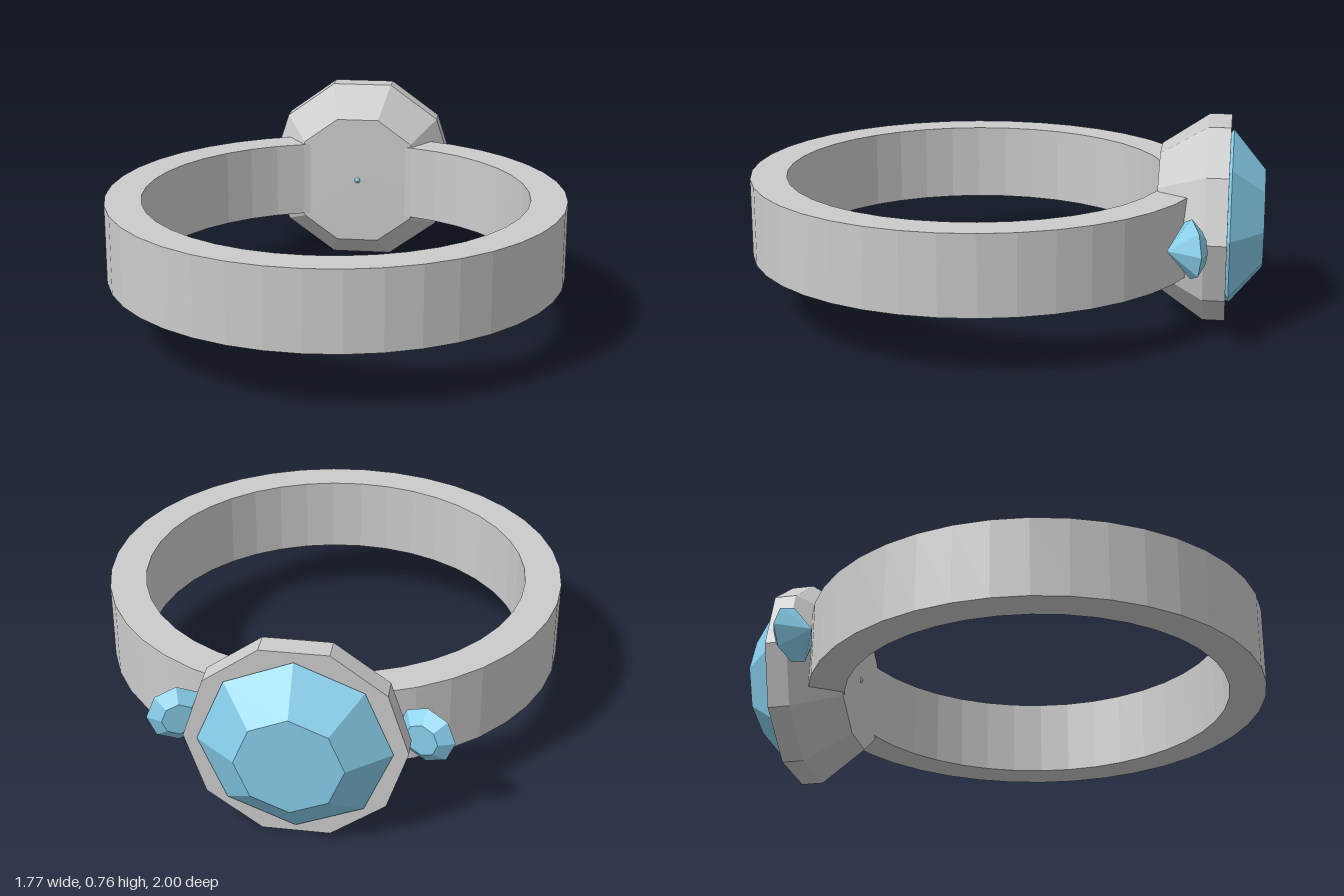
import * as THREE from 'three';

const CENTER_Y = 0.383;
const metal = new THREE.MeshStandardMaterial({ color: 0xcccccc, flatShading: true });
const stone = new THREE.MeshStandardMaterial({ color: 0x87ceeb, flatShading: true });

// Faceted solid of revolution from [radius, height] pairs listed bottom to top
function facetedLathe(name, profile, sides, material) {
  const points = profile.map(([r, y]) => new THREE.Vector2(r, y));
  const geometry = new THREE.LatheGeometry(points, sides, Math.PI / 2);
  const mesh = new THREE.Mesh(geometry, material);
  mesh.name = name;
  return mesh;
}

// Octagonal cut stone: culet, girdle, crown and table, with the table facing -z
function gem(name, scale) {
  const profile = [[0, -0.285], [0.348, 0], [0.195, 0.125], [0, 0.125]];
  const mesh = facetedLathe(name, profile, 8, stone);
  mesh.geometry.rotateX(-Math.PI / 2);
  mesh.scale.setScalar(scale);
  return mesh;
}

export function createModel() {
  const ring = new THREE.Group();
  ring.name = 'ring';

  // Flat finger band
  const inner = 0.745, outer = 0.885, half = 0.153;
  const band = facetedLathe('band', [
    [inner, -half], [outer, -half], [outer, half], [inner, half], [inner, -half],
  ], 40, metal);
  band.position.set(0, CENTER_Y, 0.115);
  ring.add(band);

  // Ten-sided tapered setting with a straight rim
  const setting = facetedLathe('setting', [
    [0, 0.6], [0.28, 0.6], [0.4, 0.78], [0.4, 0.865], [0, 0.865],
  ], 10, metal);
  setting.geometry.rotateX(-Math.PI / 2);
  setting.position.y = CENTER_Y;
  ring.add(setting);

  // Main stone, its tip showing inside the band
  const mainGem = gem('mainGem', 1);
  mainGem.position.set(0, CENTER_Y, -0.875);
  ring.add(mainGem);

  // Small stones on either side, tilted towards the middle
  for (const side of [-1, 1]) {
    const sideGem = gem(side > 0 ? 'leftSideGem' : 'rightSideGem', 0.325);
    sideGem.position.set(side * 0.449, CENTER_Y, -0.738);
    sideGem.rotation.y = side * 0.37;
    ring.add(sideGem);
  }
  return ring;
}
